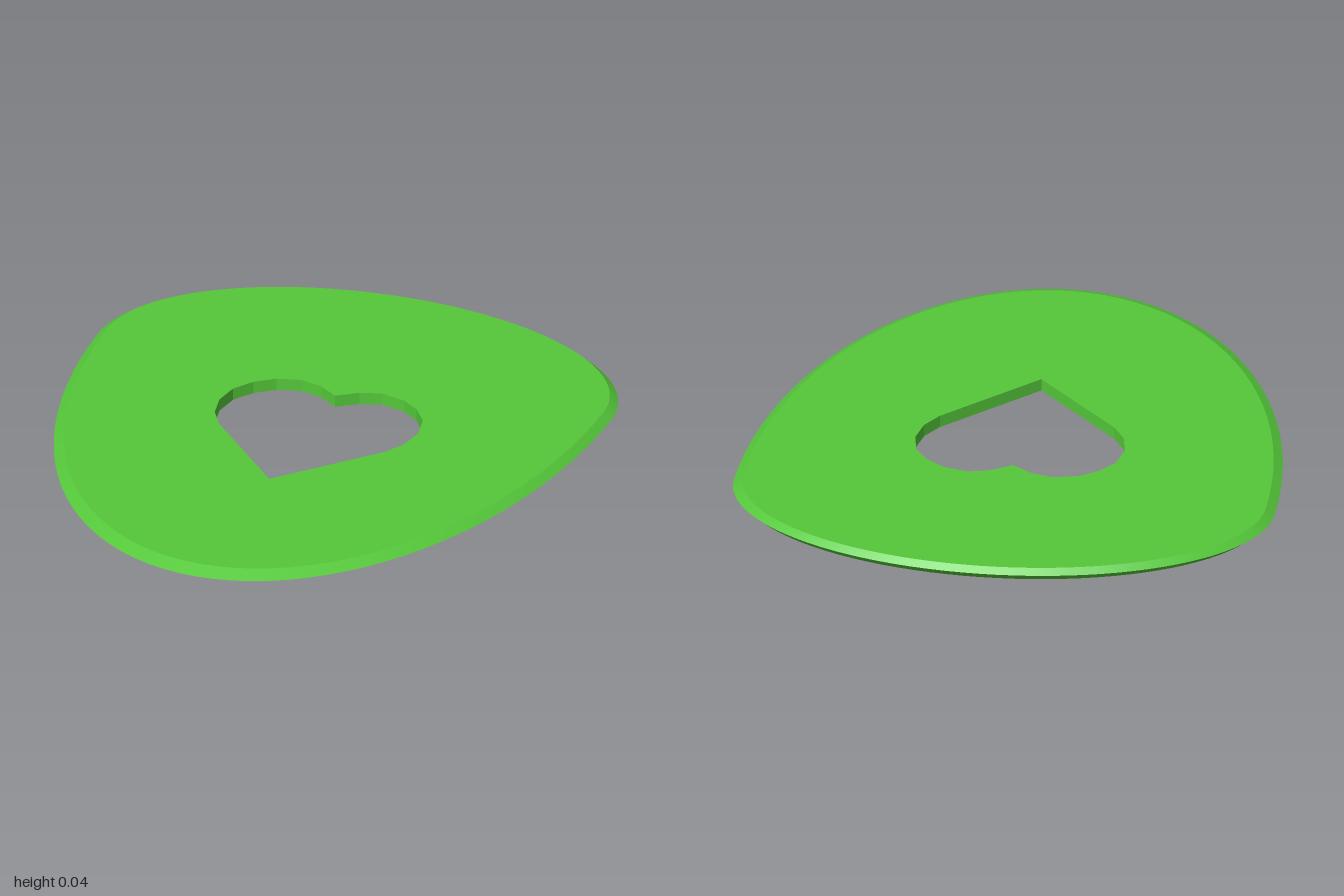
import * as THREE from 'three';

const THICK = 0.04, SHOULDER = -0.46, HALF_WIDTH = 0.865, SEGMENTS = 96;

// Rounded-triangle outline as [x, z]: two half ellipses meeting at the shoulders,
// scaled about a point between the shoulders.
function outline(scale) {
  const points = [];
  for (let i = 0; i < SEGMENTS; i++) {
    const a = (i / SEGMENTS) * Math.PI * 2;
    const depth = Math.sin(a) > 0 ? 1 + SHOULDER : 1 - SHOULDER;
    const x = HALF_WIDTH * Math.cos(a);
    const z = SHOULDER - depth * Math.sin(a);
    points.push([x * scale, -0.5 + (z + 0.5) * scale]);
  }
  return points;
}

// Heart outline as [x, z], right half mirrored to the left
function heart() {
  const right = [[0.065, -0.32], [0.135, -0.34], [0.215, -0.32], [0.275, -0.275],
    [0.32, -0.21], [0.335, -0.125], [0.32, -0.04], [0.28, 0.03]];
  const left = right.map(([x, z]) => [-x, z]).reverse();
  return [[0, -0.275], ...right, [0, 0.33], ...left];
}

// Closed strip of faces between two matching loops at heights y0 and y1
function band(lower, y0, upper, y1) {
  const n = lower.length, position = [], index = [];
  lower.forEach(([x, z]) => position.push(x, y0, z));
  upper.forEach(([x, z]) => position.push(x, y1, z));
  for (let i = 0; i < n; i++) {
    const j = (i + 1) % n;
    index.push(i, j, n + j, i, n + j, n + i);
  }
  const geometry = new THREE.BufferGeometry();
  geometry.setAttribute('position', new THREE.Float32BufferAttribute(position, 3));
  geometry.setIndex(index);
  geometry.computeVertexNormals();
  return geometry;
}

// Flat face with the heart cut out; side is 1 for the top, -1 for the bottom
function face(loop, hole, side, y) {
  const toShape = ([x, z]) => new THREE.Vector2(x, -side * z);
  const shape = new THREE.Shape(loop.map(toShape));
  shape.holes.push(new THREE.Path(hole.map(toShape)));
  return new THREE.ShapeGeometry(shape).rotateX(-side * Math.PI / 2).translate(0, y, 0);
}

export function createModel() {
  const group = new THREE.Group();
  group.name = 'pick';
  const smooth = new THREE.MeshStandardMaterial({ color: 0x55c83a });
  const faceted = new THREE.MeshStandardMaterial({ color: 0x55c83a, flatShading: true });
  const add = (name, geometry, material = smooth) => {
    const mesh = new THREE.Mesh(geometry, material);
    mesh.name = name;
    group.add(mesh);
  };

  const rim = outline(1), inner = outline(0.967), hole = heart();
  add('topFace', face(inner, hole, 1, THICK));
  add('bottomFace', face(inner, hole, -1, 0));
  // Bevels meeting in a sharp edge at mid thickness
  add('upperBevel', band(rim, THICK / 2, inner, THICK));
  add('lowerBevel', band(inner, 0, rim, THICK / 2));
  // Inside wall of the cut-out
  add('heartWall', band(hole, 0, hole, THICK), faceted);
  return group;
}
